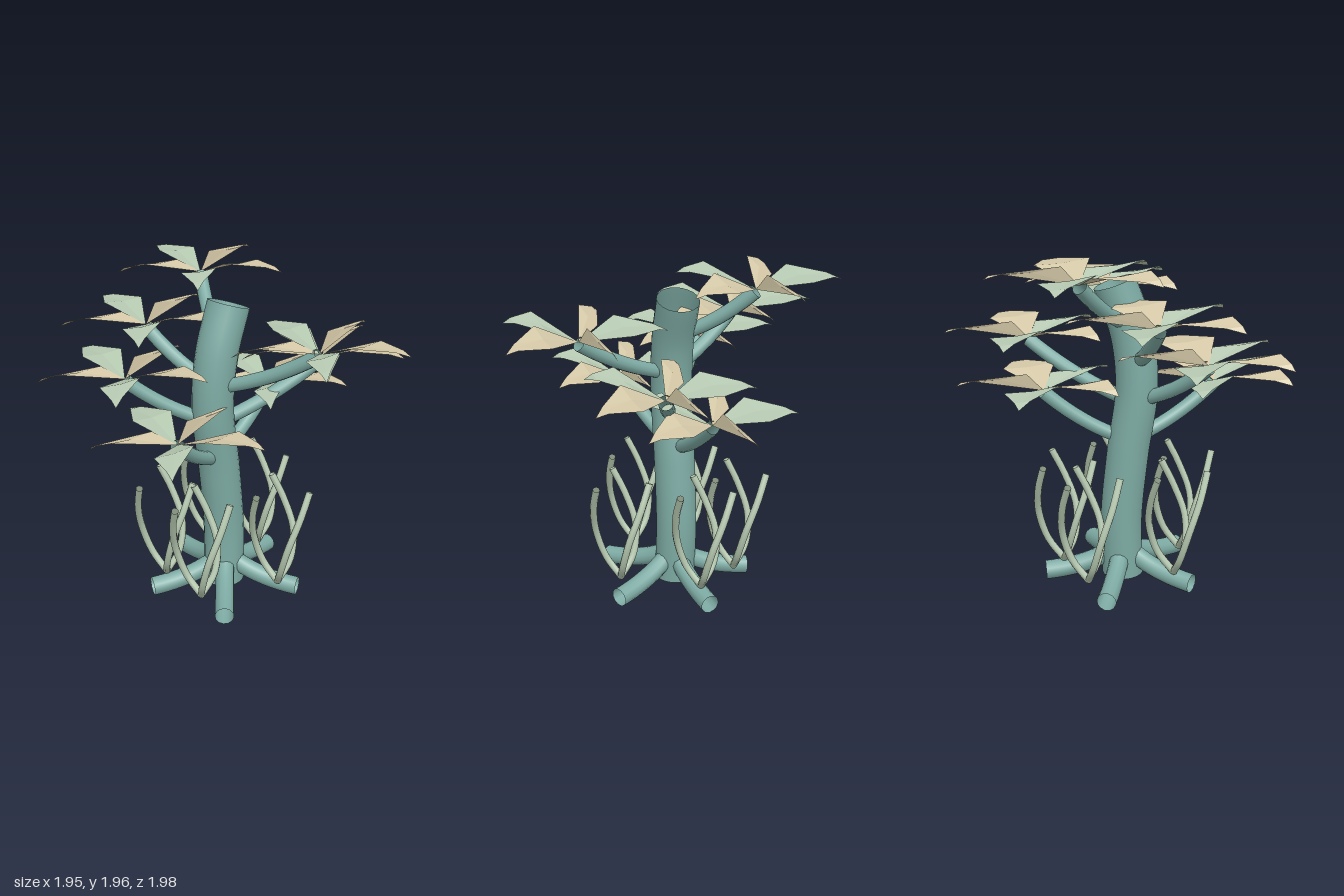
import * as THREE from 'three';

const V = (x, y, z) => new THREE.Vector3(x, y, z);

function makeMaterial(name, color) {
  const m = new THREE.MeshStandardMaterial({ color, side: THREE.DoubleSide });
  m.name = name;
  return m;
}

export function createModel() {
  const bark = makeMaterial('teal bark', 0x7eaba4);
  const green = makeMaterial('pale green', 0xb7cab2);
  const tan = makeMaterial('pale tan', 0xd5c9a8);

  const model = new THREE.Group();
  model.name = 'tree';

  const add = (parent, name, geometry, material) => {
    const mesh = new THREE.Mesh(geometry, material);
    mesh.name = name;
    parent.add(mesh);
    return mesh;
  };
  // Open-ended round tube along a curve
  const tube = (parent, name, curve, radius, material, steps = 14, sides = 12) =>
    add(parent, name, new THREE.TubeGeometry(curve, steps, radius, sides, false), material);

  // Trunk: one gently S-shaped hollow tube
  const trunk = new THREE.CatmullRomCurve3([
    V(-0.03, 0.04, -0.1), V(-0.02, 0.4, -0.105), V(-0.055, 0.8, -0.11),
    V(-0.105, 1.2, -0.115), V(-0.075, 1.52, -0.105), V(0.02, 1.797, -0.09),
  ]);
  tube(model, 'trunk', trunk, 0.122, bark, 40, 20);

  // Roots: five curved stubs around the base
  const cx = -0.03, cz = -0.09;
  for (let i = 0; i < 5; i++) {
    const a = (i * Math.PI * 2) / 5;
    const at = (r, y) => V(cx + r * Math.cos(a), y, cz + r * Math.sin(a));
    tube(model, 'root', new THREE.QuadraticBezierCurve3(at(0.03, 0.2), at(0.19, 0.08), at(0.46, 0.062)), 0.056, bark);
  }

  // Kite-shaped leaf: every leaf is widened along x, so some are seen edge-on
  function leafGeometry(angle) {
    const dx = 0.49 * Math.cos(angle), dz = -0.49 * Math.sin(angle);
    const p = (t, side, y) => V(t * dx + side * 0.15, y - side * 0.02, t * dz + side * 0.01);
    const base = p(0, 0, 0), tip = p(1, 0, 0.04);
    const mid = [-1, 0, 1].map((s) => p(0.5, s, s ? 0.082 : 0.072));
    const end = [-1, 0, 1].map((s) => p(0.86, s * 0.28, 0.066));
    const tris = [];
    for (let k = 0; k < 2; k++) {
      tris.push(base, mid[k], mid[k + 1]);
      tris.push(mid[k], end[k], mid[k + 1], end[k], end[k + 1], mid[k + 1]);
      tris.push(end[k], tip, end[k + 1]);
    }
    const g = new THREE.BufferGeometry().setFromPoints(tris);
    g.computeVertexNormals();
    return g;
  }
  const leaves = [0, 1, 2, 3, 4].map((i) => leafGeometry((i * Math.PI * 2) / 5));

  // Branches with a five-leaf star at each end: [x, y, z of star, height on trunk]
  const branches = [
    [0.42, 1.185, -0.09, 0.88], [-0.57, 1.185, 0.0, 0.88],
    [0.49, 1.41, 0.235, 1.09], [-0.445, 1.41, -0.465, 1.12],
    [0.01, 1.635, 0.51, 1.32], [-0.165, 1.635, -0.54, 1.34],
    [0.24, 1.86, -0.455, 1.55],
  ];
  for (const [x, y, z, startY] of branches) {
    const start = trunk.getPoint(0);
    for (let t = 0; t <= 1 && start.y < startY; t += 0.01) trunk.getPoint(t, start);
    const end = V(x, y - 0.01, z);
    const bend = start.clone().lerp(end, 0.52);
    bend.y -= 0.07;
    tube(model, 'branch', new THREE.QuadraticBezierCurve3(start, bend, end), 0.041, bark);

    const star = new THREE.Group();
    star.name = 'leafCluster';
    star.position.set(x, y, z);
    leaves.forEach((g, i) => add(star, 'leaf', g, i % 2 ? green : tan));
    model.add(star);
  }

  // Stalk tufts: three twisting shoots from each base point
  const shoots = [192, 72, -48].map((deg) => {
    const polar = (r, d, y) => V(r * Math.cos((d * Math.PI) / 180), y, r * Math.sin((d * Math.PI) / 180));
    const path = new THREE.CatmullRomCurve3([
      V(0, 0.13, 0), polar(0.095, deg + 66, 0.25), polar(0.145, deg + 52, 0.43),
      polar(0.16, deg + 25, 0.61), polar(0.18, deg, 0.765),
    ]);
    return new THREE.TubeGeometry(path, 18, 0.021, 8, false);
  });
  const tufts = [[0.32, -0.09], [0, 0.28], [-0.385, 0], [-0.3, -0.33], [0.2, -0.385]];
  for (const [x, z] of tufts) {
    const tuft = new THREE.Group();
    tuft.name = 'stalkTuft';
    tuft.position.set(x, 0, z);
    shoots.forEach((g) => add(tuft, 'stalk', g, green));
    model.add(tuft);
  }

  return model;
}
